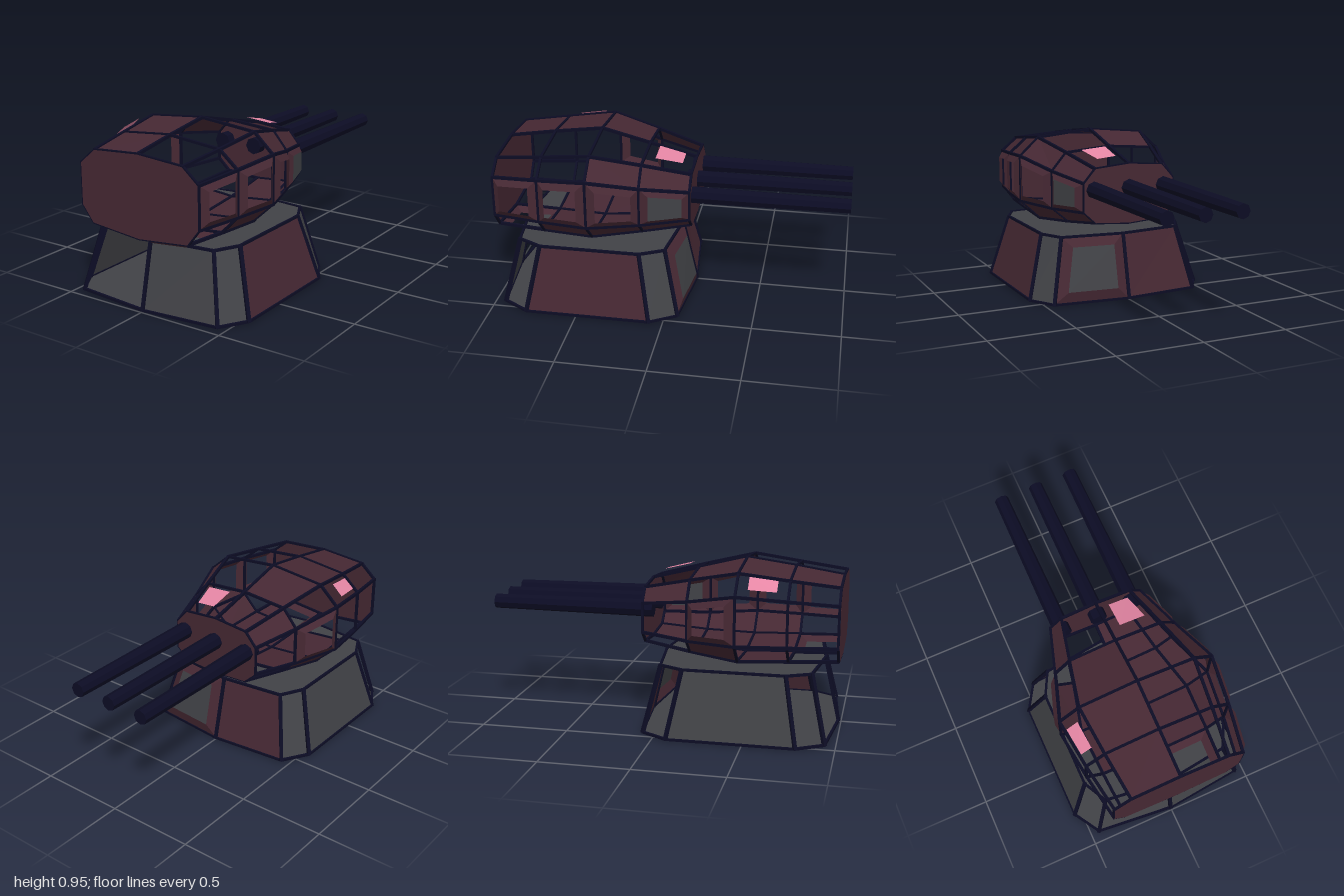
import * as THREE from 'three';
import { mergeGeometries } from 'three/addons/utils/BufferGeometryUtils.js';

const flat = (name, color) => {
  const m = new THREE.MeshStandardMaterial({ color, side: THREE.DoubleSide });
  m.name = name;
  return m;
};

export function createModel() {
  const maroon = flat('maroon plate', 0x462833);
  const gray = flat('gray plate', 0x414246);
  const pink = flat('pink glass', 0xe586a4);
  const navy = flat('dark navy frame', 0x0c0c24);
  const model = new THREE.Group();
  model.name = 'gunTurret';
  const V = (x, y, z) => new THREE.Vector3(x, y, z);

  // Flat convex polygon as a fan
  const polygon = (pts) => {
    const tri = [];
    for (let i = 1; i < pts.length - 1; i++) tri.push(pts[0], pts[i], pts[i + 1]);
    const g = new THREE.BufferGeometry().setFromPoints(tri);
    g.computeVertexNormals();
    return g;
  };
  const add = (parent, geometry, material, name) => {
    const mesh = new THREE.Mesh(geometry, material);
    mesh.name = name;
    parent.add(mesh);
    return mesh;
  };
  // Order corners so the normal points away from the body centre
  const outward = (pts, centre) => {
    const mid = pts.reduce((s, p) => s.add(p), V(0, 0, 0)).divideScalar(pts.length);
    const n = pts[2].clone().sub(pts[0]).cross(pts[3].clone().sub(pts[1])).normalize();
    if (n.dot(mid.clone().sub(centre)) < 0) {
      n.negate();
      pts = [...pts].reverse();
    }
    return { pts, n, mid };
  };
  // Panel kinds: p plate, w raised open window, g raised gray window, k pink pane, . open
  const panel = (parent, corners, kind, centre, name, plate = maroon) => {
    if (kind === '.') return;
    const { pts, n, mid } = outward(corners, centre);
    if (kind === 'p') {
      add(parent, polygon(pts), plate, name + 'Plate');
      return;
    }
    const scale = kind === 'k' ? 0.55 : 0.67;
    const inner = pts.map((p) => p.clone().lerp(mid, 1 - scale).addScaledVector(n, 0.03));
    if (kind === 'k') {
      add(parent, polygon(inner), pink, name + 'Pane');
      return;
    }
    const sides = pts.map((p, i) => {
      const j = (i + 1) % 4;
      return polygon([p, pts[j], inner[j], inner[i]]);
    });
    add(parent, mergeGeometries(sides), maroon, name + 'WindowFrame');
    if (kind === 'g') add(parent, polygon(inner), gray, name + 'WindowPane');
  };
  // Square beam between two points
  const strut = (a, b, w) => {
    const g = new THREE.BoxGeometry(w, w, a.distanceTo(b) + w * 0.5);
    const o = new THREE.Object3D();
    o.position.copy(a).add(b).multiplyScalar(0.5);
    o.lookAt(b);
    o.updateMatrix();
    return g.applyMatrix4(o.matrix);
  };

  // Base: ten-sided tapering pedestal
  const base = new THREE.Group();
  base.name = 'base';
  model.add(base);
  const baseRing = (y, side, corner, sideZ, cornerZ, midZ) => [
    [0, midZ], [corner, cornerZ], [side, sideZ], [side, -sideZ], [corner, -cornerZ],
    [0, -midZ], [-corner, -cornerZ], [-side, -sideZ], [-side, sideZ], [-corner, cornerZ],
  ].map(([x, z]) => V(x, y, z + 0.435));
  const low = baseRing(0.008, 0.542, 0.45, 0.355, 0.505, 0.55);
  const high = baseRing(0.38, 0.44, 0.37, 0.285, 0.42, 0.465);
  add(base, polygon([...low].reverse()), gray, 'baseFloor');
  add(base, polygon(high), gray, 'baseTop');
  const baseCentre = V(0, 0.2, 0.435);
  const baseKinds = 'p.ppgp.p..';
  const baseColours = [gray, gray, maroon, gray, gray, maroon, gray, gray, gray, gray];
  const baseBeams = [];
  low.forEach((p, i) => {
    const j = (i + 1) % low.length;
    panel(base, [p, low[j], high[j], high[i]], baseKinds[i], baseCentre, 'base' + i, baseColours[i]);
    baseBeams.push(strut(p, low[j], 0.014), strut(high[i], high[j], 0.014), strut(p, high[i], 0.02));
  });
  add(base, mergeGeometries(baseBeams), navy, 'baseFrame');

  // Gun house: cross-sections from front to back
  const house = new THREE.Group();
  house.name = 'gunHouse';
  model.add(house);
  // z, top y, shoulder x y, widest x, its upper y and lower y, lower shoulder x y, bottom y
  const stations = [
    [0.99, 0.863, 0.285, 0.843, 0.38, 0.762, 0.53, 0.31, 0.44, 0.41],
    [0.72, 0.905, 0.315, 0.875, 0.425, 0.783, 0.53, 0.325, 0.428, 0.40],
    [0.44, 0.943, 0.34, 0.91, 0.458, 0.803, 0.53, 0.335, 0.416, 0.388],
    [0.16, 0.872, 0.275, 0.85, 0.365, 0.745, 0.525, 0.265, 0.44, 0.415],
    [-0.11, 0.805, 0.21, 0.787, 0.28, 0.707, 0.54, 0.21, 0.475, 0.46],
  ];
  const half = (s, [z, yt, xs, ys, xm, yu, yl, xb, yb, y0]) => [
    V(0, yt, z), V(s * xs, ys, z), V(s * xm, yu, z), V(s * xm, yl, z), V(s * xb, yb, z), V(0, y0, z),
  ];
  const rows = ['roof', 'upperCorner', 'side', 'lowerCorner', 'belly'];
  const layout = {
    1: ['...k', '..pp', 'wwwg', '.ppp', 'wppp'],
    '-1': ['ppp.', '.k.p', '..w.', '..p.', '.pp.'],
  };
  const houseCentre = V(0, 0.65, 0.44);
  const beams = [];
  for (const s of [1, -1]) {
    const rings = stations.map((st) => half(s, st));
    const prefix = s > 0 ? 'left' : 'right';
    rows.forEach((row, r) => {
      for (let b = 0; b < 4; b++) {
        const [f, k] = [rings[b], rings[b + 1]];
        const name = prefix + row[0].toUpperCase() + row.slice(1) + b;
        panel(house, [f[r], f[r + 1], k[r + 1], k[r]], layout[s][r][b], houseCentre, name);
      }
    });
    // Lattice along and across the shell
    rings.forEach((ring, i) => {
      ring.forEach((p, r) => {
        if (r < 5) beams.push(strut(p, ring[r + 1], 0.014));
        if (i < 4 && (s > 0 || (r > 0 && r < 5))) beams.push(strut(p, rings[i + 1][r], 0.016));
      });
    });
  }
  add(house, mergeGeometries(beams), navy, 'houseFrame');

  // End plates
  const cap = (st, dz) => [...half(-1, st), ...half(1, st).slice(1, 5).reverse()]
    .map((p) => p.setZ(p.z + dz));
  add(house, polygon(cap(stations[0], 0.008)), maroon, 'frontPlate');
  add(house, polygon(cap(stations[4], -0.008).reverse()), maroon, 'backPlate');

  // Three tapering barrels
  for (const x of [-0.22, 0, 0.22]) {
    const g = new THREE.CylinderGeometry(0.05, 0.042, 0.94, 8).toNonIndexed();
    g.computeVertexNormals();
    const barrel = add(model, g, navy, 'barrel');
    barrel.rotation.x = Math.PI / 2;
    barrel.position.set(x, 0.668, -0.53);
  }
  return model;
}
